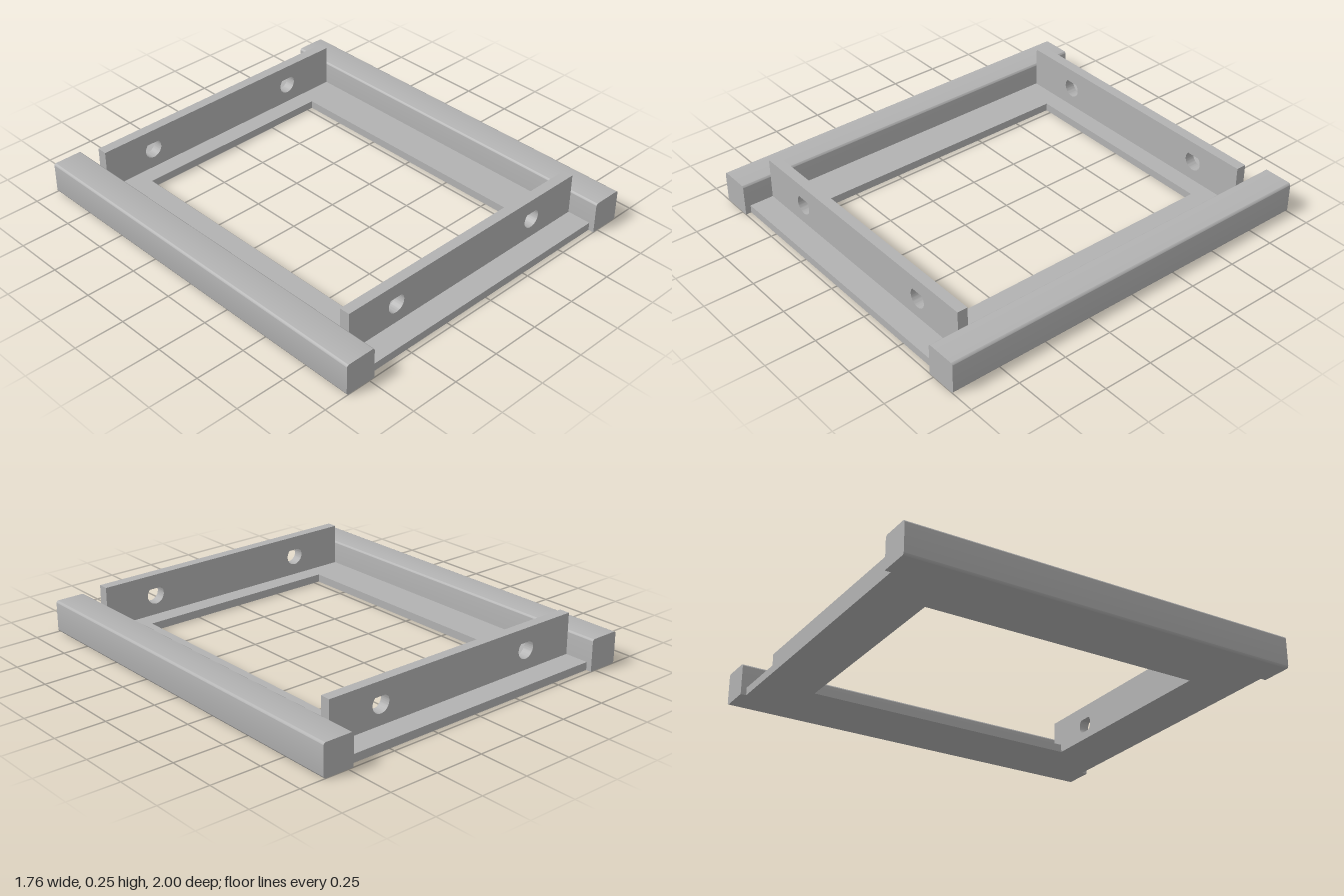
import * as THREE from 'three';
import { toCreasedNormals } from 'three/addons/utils/BufferGeometryUtils.js';

const rect = (ShapeClass, x0, y0, x1, y1) => {
  const s = new ShapeClass();
  s.moveTo(x0, y0); s.lineTo(x1, y0); s.lineTo(x1, y1); s.lineTo(x0, y1);
  s.closePath();
  return s;
};

// Extrusion centred on z = 0
const slab = (shape, depth) => {
  const g = new THREE.ExtrudeGeometry(shape, { depth, bevelEnabled: false, curveSegments: 24 });
  g.translate(0, 0, -depth / 2);
  return toCreasedNormals(g, 0.6);
};

// Round hole with a pointed 45 degree roof
const teardrop = (cx, cy, r) => {
  const p = new THREE.Path();
  p.moveTo(cx, cy + r * Math.SQRT2);
  p.absarc(cx, cy, r, Math.PI * 0.75, Math.PI * 2.25, false);
  p.closePath();
  return p;
};

export function createModel() {
  const model = new THREE.Group();
  model.name = 'mountingFrame';
  const grey = new THREE.MeshStandardMaterial({ color: 0xb2b2b2 });
  grey.name = 'grey';
  const add = (name, geometry) => {
    const mesh = new THREE.Mesh(geometry, grey);
    mesh.name = name;
    model.add(mesh);
    return mesh;
  };

  // Flat base with a rectangular window
  const base = rect(THREE.Shape, -0.723, -0.972, 0.723, 0.972);
  base.holes.push(rect(THREE.Path, -0.53, -0.706, 0.53, 0.706));
  const baseGeometry = slab(base, 0.04);
  baseGeometry.rotateX(-Math.PI / 2);
  add('basePlate', baseGeometry).position.y = 0.02;

  // Side rails with softened long edges, square where they meet the base
  const railShape = side => {
    const a = 0.722, b = 0.88, h = 0.16, r = 0.015;
    const s = new THREE.Shape();
    s.moveTo(side * a, 0);
    s.lineTo(side * (b - r), 0);
    s.quadraticCurveTo(side * b, 0, side * b, r);
    s.lineTo(side * b, h - r);
    s.quadraticCurveTo(side * b, h, side * (b - r), h);
    s.lineTo(side * (a + r), h);
    s.quadraticCurveTo(side * a, h, side * a, h - r);
    s.closePath();
    return s;
  };
  add('leftRail', slab(railShape(1), 2));
  add('rightRail', slab(railShape(-1), 2));

  // Upright cross walls, each with two teardrop holes
  const wall = rect(THREE.Shape, -0.722, 0.04, 0.722, 0.246);
  for (const x of [-0.44, 0.44]) wall.holes.push(teardrop(x, 0.142, 0.047));
  const wallGeometry = slab(wall, 0.052);
  add('frontWall', wallGeometry).position.z = 0.823;
  add('backWall', wallGeometry).position.z = -0.823;

  return model;
}
